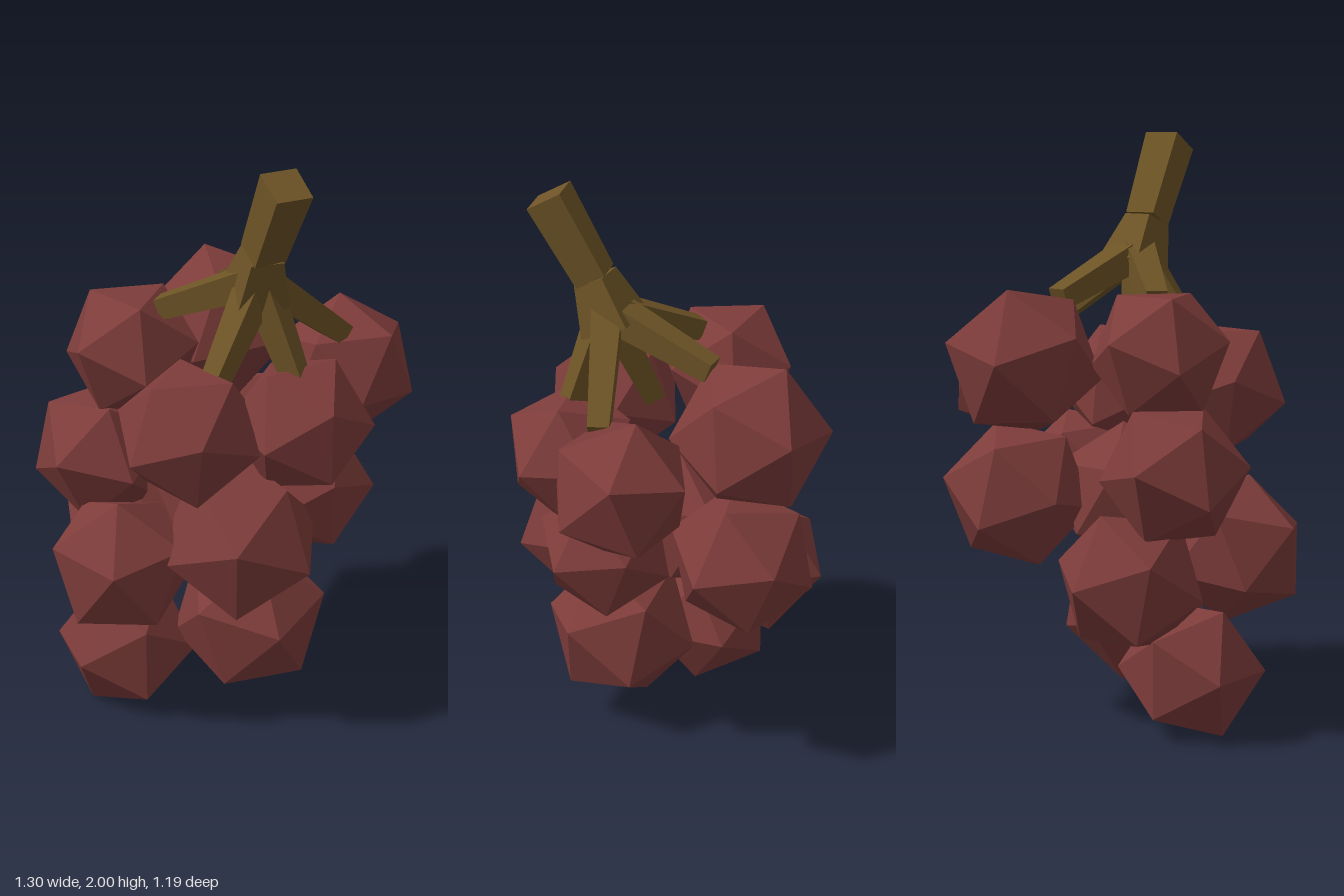
import * as THREE from 'three';

const V = (a) => new THREE.Vector3(...a);

// Rotation-ready frame from a main direction and a second direction
function frame(a, b) {
  const e1 = a.clone().normalize();
  const e2 = b.clone().addScaledVector(e1, -b.dot(e1)).normalize();
  return new THREE.Matrix4().makeBasis(e1, e2, e1.clone().cross(e2));
}

// Two neighbouring corners of the standard icosahedron
const PHI = (1 + Math.sqrt(5)) / 2;
const BASE_INVERSE = frame(V([0, 1, PHI]), V([0, -1, PHI])).transpose();

// centre, radius, direction of one corner, direction of a neighbouring corner
const GRAPES = [
  // top ring
  [[-0.305, 1.285, 0.018], 0.24, [-0.59, 0.8, -0.13], [0.41, 0.8, -0.45]],
  [[-0.085, 1.13, 0.358], 0.25, [0.59, 0.8, 0.16], [-0.43, 0.8, 0.43]],
  [[0.275, 1.1, 0.19], 0.245, [1, 0, 0], [0.2, 0.87, -0.2]],
  [[0.416, 1.16, -0.18], 0.25, [0.94, -0.33, 0.16], [0.11, -0.93, 0.2]],
  [[-0.025, 1.25, -0.345], 0.27, [-0.25, 0.92, -0.33], [0.33, 0.18, -0.92]],
  // middle ring
  [[-0.415, 0.9, 0.015], 0.25, [-0.94, -0.34, 0], [-0.74, 0.67, 0]],
  [[0.285, 0.8, 0.03], 0.24, [1, 0, 0], [0.45, 0.9, -0.07]],
  [[0.015, 0.8, -0.352], 0.258, [1, 0, -0.08], [0.4, 0.9, -0.1]],
  [[0.085, 0.71, 0.29], 0.278, [0.55, 0.8, 0.25], [-0.5, 0.83, 0.25]],
  // core
  [[-0.06, 0.78, 0.01], 0.25, [0, 1, 0], [1, 0, 0]],
  // lower grapes
  [[-0.325, 0.61, 0.3], 0.255, [0.02, 0.25, 0.95], [0, 1, 0.1]],
  [[-0.332, 0.54, -0.105], 0.258, [-0.3, 0, -1], [0, 1, -0.3]],
  [[0.103, 0.347, 0.145], 0.275, [0.95, 0.3, 0], [0.3, 0.92, 0.27]],
  [[-0.328, 0.213, 0.13], 0.25, [-0.48, -0.85, 0.22], [0.48, -0.85, -0.22]],
];

const NODE = [0.12, 1.54, 0.14]; // bottom of the knot
const ROOT = [0.13, 1.595, 0.16]; // where the branches meet
const NECK = [0.145, 1.7, 0.205]; // bottom of the straight stalk
const TIP = [0.222, 1.97, 0.335];

const BRANCH_ENDS = [
  [-0.2, 1.45, 0.06],
  [0.4, 1.32, -0.07],
  [0.01, 1.45, -0.2],
  [0, 1.3, 0.31],
  [0.26, 1.26, 0.21],
  [0, 1.25, 0.08],
];

// Square tapered rod running from p to q
function rod(p, q, r0, r1, material, name) {
  const a = V(p), b = V(q);
  const dir = b.clone().sub(a);
  const length = dir.length();
  dir.normalize();
  const side = new THREE.Vector3(0, 1, 0).cross(dir).normalize();
  const geometry = new THREE.CylinderGeometry(r1, r0, length, 4);
  geometry.rotateY(Math.PI / 4);
  geometry.applyMatrix4(new THREE.Matrix4().makeBasis(side, dir, side.clone().cross(dir)));
  const mesh = new THREE.Mesh(geometry, material);
  mesh.position.copy(a).add(b).multiplyScalar(0.5);
  mesh.name = name;
  return mesh;
}

export function createModel() {
  const model = new THREE.Group();
  model.name = 'grapeBunch';
  const skin = new THREE.MeshStandardMaterial({ color: 0x7d3c3a, flatShading: true });
  const wood = new THREE.MeshStandardMaterial({ color: 0x6e5426, flatShading: true });

  // Faceted grapes
  const grapes = new THREE.Group();
  grapes.name = 'grapes';
  for (const [centre, radius, corner, neighbour] of GRAPES) {
    const geometry = new THREE.IcosahedronGeometry(radius, 0);
    geometry.applyMatrix4(frame(V(corner), V(neighbour)).multiply(BASE_INVERSE));
    const grape = new THREE.Mesh(geometry, skin);
    grape.position.set(...centre);
    grape.name = 'grape';
    grapes.add(grape);
  }
  model.add(grapes);

  // Stalk, flaring knot and branches
  const stem = new THREE.Group();
  stem.name = 'stem';
  stem.add(rod(NECK, TIP, 0.078, 0.09, wood, 'stalk'));
  stem.add(rod(NODE, NECK, 0.125, 0.078, wood, 'knot'));
  for (const end of BRANCH_ENDS) stem.add(rod(ROOT, end, 0.073, 0.05, wood, 'branch'));
  model.add(stem);

  return model;
}
